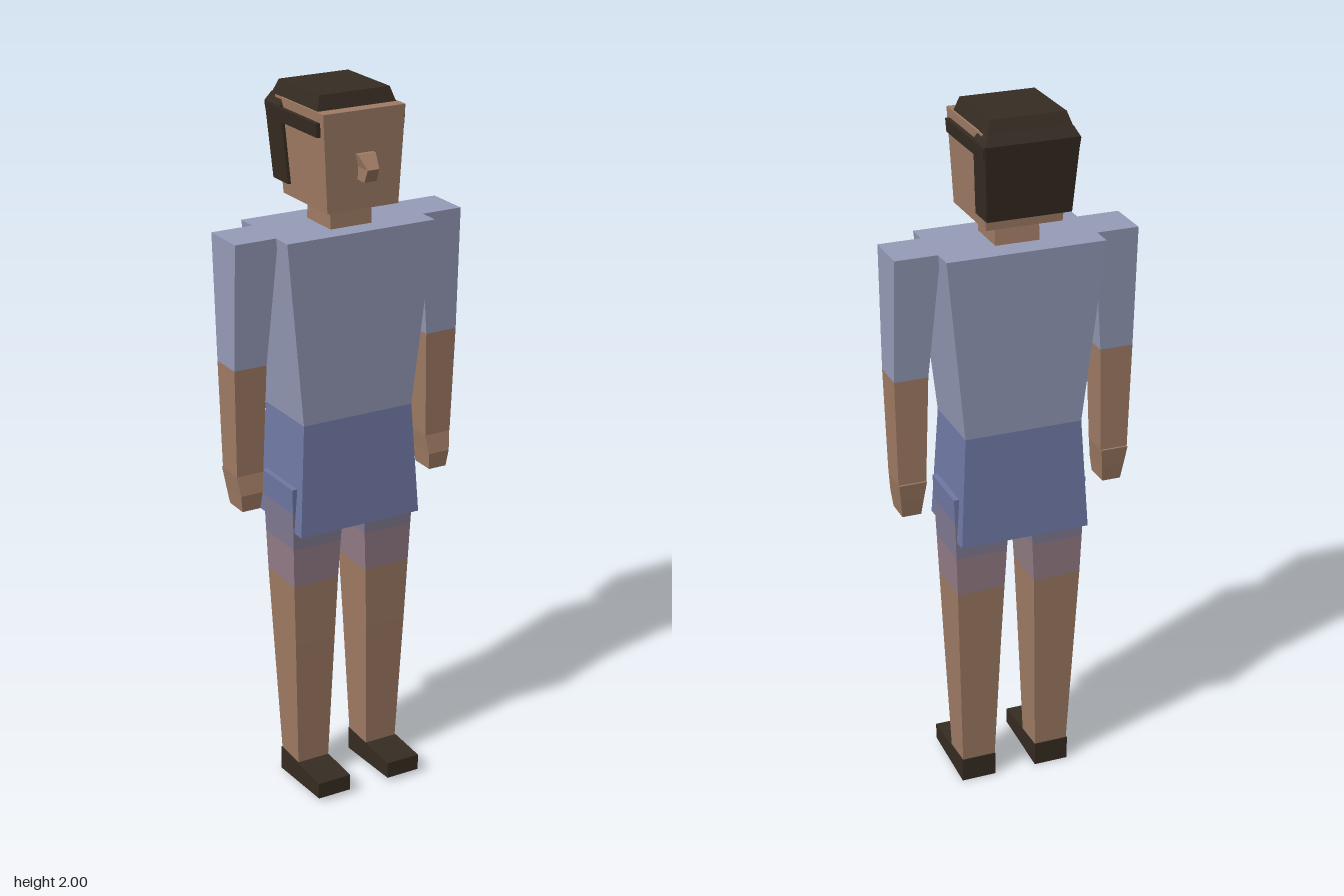
import * as THREE from 'three';

const mat = (name, color) => {
  const m = new THREE.MeshStandardMaterial({ color });
  m.name = name;
  return m;
};

// Box-like solid through rectangular sections [y, x0, x1, zBack, zFront], bottom to top
function loft(sections, side = 1) {
  const rings = sections.map(([y, a, b, z0, z1]) => {
    const x0 = Math.min(a * side, b * side), x1 = Math.max(a * side, b * side);
    return [[x0, y, z1], [x1, y, z1], [x1, y, z0], [x0, y, z0]];
  });
  const pos = [];
  const quad = (a, b, c, d) => pos.push(...a, ...b, ...c, ...a, ...c, ...d);
  for (let i = 0; i < rings.length - 1; i++) {
    const lo = rings[i], hi = rings[i + 1];
    for (let k = 0; k < 4; k++) {
      const n = (k + 1) % 4;
      quad(lo[k], lo[n], hi[n], hi[k]);
    }
  }
  const first = rings[0], last = rings[rings.length - 1];
  quad(first[3], first[2], first[1], first[0]);
  quad(last[0], last[1], last[2], last[3]);
  const g = new THREE.BufferGeometry();
  g.setAttribute('position', new THREE.Float32BufferAttribute(pos, 3));
  g.computeVertexNormals(); // unshared corners give flat faces
  return g;
}

export function createModel() {
  const model = new THREE.Group();
  model.name = 'figure';
  const skin = mat('skin', 0xa07c65);
  const shirt = mat('shirt blue', 0x969cb9);
  const shorts = mat('shorts blue', 0x7079a5);
  const hemUpper = mat('upper hem mauve', 0x827b93);
  const hemLower = mat('lower hem mauve', 0x947d86);
  const dark = mat('dark brown', 0x362c22);

  const add = (name, material, sections, side = 1) => {
    const mesh = new THREE.Mesh(loft(sections, side), material);
    mesh.name = name;
    model.add(mesh);
    return mesh;
  };
  // Section centred on x = 0
  const mid = (y, w, z0, z1) => [y, -w, w, z0, z1];

  // Trunk
  add('shirtBody', shirt, [mid(1.12, 0.167, -0.116, 0.098), mid(1.637, 0.222, -0.137, 0.116)]);
  add('shortsBody', shorts, [mid(0.803, 0.185, -0.13, 0.112), mid(1.12, 0.167, -0.116, 0.098)]);

  // Head
  add('neck', skin, [mid(1.62, 0.062, -0.07, 0.058), mid(1.71, 0.062, -0.06, 0.055)]);
  add('head', skin, [mid(1.70, 0.106, -0.115, 0.119), mid(1.962, 0.121, -0.13, 0.125)]);
  add('nose', skin, [
    mid(1.78, 0.018, 0.115, 0.155), mid(1.815, 0.017, 0.115, 0.17), mid(1.85, 0.026, 0.115, 0.137),
  ]);

  // Hair
  add('hairCap', dark, [mid(1.96, 0.116, -0.158, 0.088), mid(2.0, 0.104, -0.138, 0.074)]);
  add('hairBack', dark, [
    mid(1.735, 0.117, -0.15, -0.07), mid(1.94, 0.129, -0.172, -0.088), mid(1.965, 0.116, -0.158, -0.1),
  ]);

  for (const [label, s] of [['left', 1], ['right', -1]]) {
    // Strip of hair along the side of the head
    add(label + 'HairBand', dark, [
      [1.90, 0.112, 0.129, -0.162, 0.106], [1.937, 0.114, 0.132, -0.168, 0.106],
    ], s);

    // Arm
    add(label + 'Sleeve', shirt, [
      [1.29, 0.247, 0.342, -0.055, 0.042], [1.637, 0.216, 0.341, -0.076, 0.056],
    ], s);
    add(label + 'Forearm', skin, [
      [0.985, 0.256, 0.335, -0.05, 0.032], [1.29, 0.247, 0.342, -0.055, 0.042],
    ], s);
    add(label + 'Hand', skin, [
      [0.882, 0.268, 0.322, -0.038, 0.035], [0.93, 0.263, 0.328, -0.047, 0.041],
      [0.985, 0.256, 0.335, -0.056, 0.03],
    ], s);

    // Leg, banded down from the shorts to bare skin
    const hip = [0.933, 0.028, 0.193, -0.092, 0.078];
    const thigh = [0.86, 0.032, 0.19, -0.091, 0.075];
    const hem = [0.75, 0.038, 0.186, -0.088, 0.07];
    const hemEnd = [0.635, 0.044, 0.182, -0.085, 0.065];
    add(label + 'ShortsLeg', shorts, [thigh, hip], s);
    add(label + 'UpperHem', hemUpper, [hem, thigh], s);
    add(label + 'LowerHem', hemLower, [hemEnd, hem], s);
    add(label + 'Leg', skin, [
      [0.06, 0.063, 0.16, -0.054, 0.04], [0.45, 0.051, 0.175, -0.075, 0.058], hemEnd,
    ], s);

    // Shoe, thinner towards the toe
    const shoe = add(label + 'Shoe', dark, [
      [0, 0.062, 0.163, -0.057, 0.165], [0.07, 0.062, 0.163, -0.057, 0.165],
    ], s);
    const p = shoe.geometry.attributes.position;
    for (let i = 0; i < p.count; i++) {
      if (p.getZ(i) > 0) p.setY(i, p.getY(i) > 0.03 ? 0.06 : 0.013);
    }
    shoe.geometry.computeVertexNormals();
  }
  return model;
}
